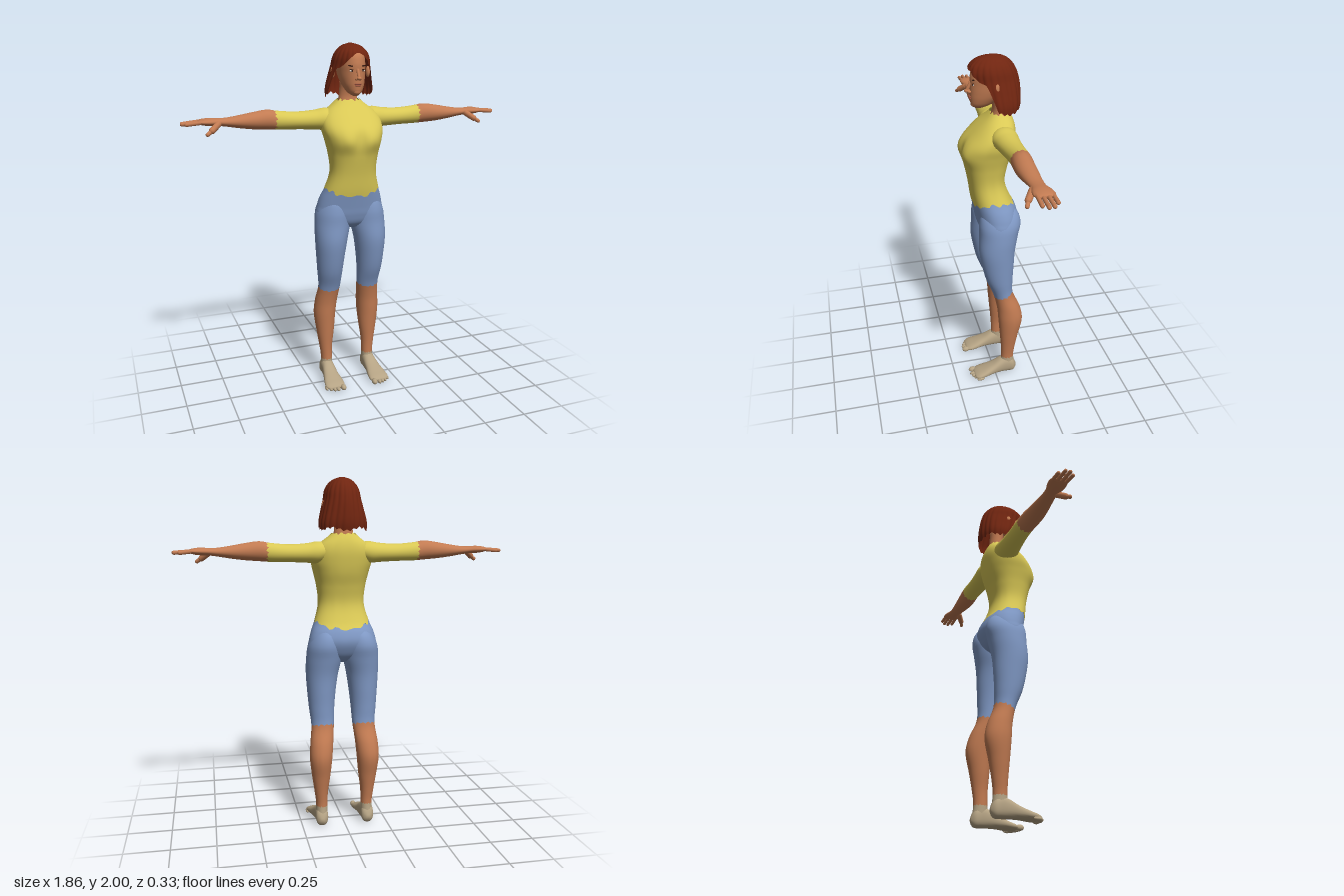
import * as THREE from 'three';

const paint = (name, color, side = THREE.FrontSide) => {
  const m = new THREE.MeshStandardMaterial({ color, side });
  m.name = name;
  return m;
};

// Cross-section table row: [t, aMin, aMax, bMin, bMax]; sym makes one centred on x = 0
const sym = (y, w, back, front) => [y, -w, w, back, front];
const sampler = (rows) => {
  const curve = new THREE.CubicInterpolant(rows.map((r) => r[0]), rows.flatMap((r) => r.slice(1)), 4);
  return (t) => Array.from(curve.evaluate(t));
};

// Loft along an axis between lo and hi. A number gives a closed end, a function of the angle a cut edge.
function loft(rows, { axis = 'y', lo = rows[0][0], hi = rows.at(-1)[0], segs = 40, steps = 30, n = 1, shape } = {}) {
  const at = sampler(rows), pos = [], idx = [];
  const place = { y: (t, a, b) => [a, t, b], x: (t, a, b) => [t, a, b], z: (t, a, b) => [a, b, t] }[axis];
  const tri = (a, b, c) => (axis === 'y' ? idx.push(a, b, c) : idx.push(a, c, b));
  const edge = (e, th) => (typeof e === 'function' ? e(th) : e);
  const pow = (v) => Math.sign(v) * Math.abs(v) ** n;
  for (let j = 0; j <= steps; j++) {
    for (let i = 0; i < segs; i++) {
      const th = (i / segs) * Math.PI * 2;
      const t = THREE.MathUtils.lerp(edge(lo, th), edge(hi, th), j / steps);
      const [a0, a1, b0, b1] = at(t);
      const p = place(t, (a0 + a1) / 2 + ((a1 - a0) / 2) * pow(Math.cos(th)),
        (b0 + b1) / 2 + ((b1 - b0) / 2) * pow(Math.sin(th)));
      pos.push(...(shape ? shape(p, th) : p));
      if (j === steps) continue;
      const k = j * segs + i, k1 = j * segs + ((i + 1) % segs);
      tri(k, k + segs, k1);
      tri(k1, k + segs, k1 + segs);
    }
  }
  for (const [e, j] of [[lo, 0], [hi, steps]]) {
    if (typeof e === 'function') continue;
    const [a0, a1, b0, b1] = at(e), c = pos.length / 3;
    pos.push(...place(e, (a0 + a1) / 2, (b0 + b1) / 2));
    for (let i = 0; i < segs; i++) {
      const k = j * segs + i, k1 = j * segs + ((i + 1) % segs);
      if (j) tri(k, c, k1); else tri(k, k1, c);
    }
  }
  const g = new THREE.BufferGeometry();
  g.setAttribute('position', new THREE.Float32BufferAttribute(pos, 3));
  g.setIndex(idx);
  g.computeVertexNormals();
  return g;
}

function blob(x, y, z, sx, sy, sz, tilt = 0) {
  return new THREE.SphereGeometry(1, 16, 12).scale(sx, sy, sz).rotateZ(tilt).translate(x, y, z);
}

function rod(from, to, r) {
  const a = new THREE.Vector3(...from), b = new THREE.Vector3(...to), d = b.clone().sub(a);
  const q = new THREE.Quaternion().setFromUnitVectors(new THREE.Vector3(0, 1, 0), d.clone().normalize());
  const mid = a.add(b).multiplyScalar(0.5);
  return new THREE.CapsuleGeometry(r, d.length(), 5, 10).applyQuaternion(q).translate(mid.x, mid.y, mid.z);
}

function mirrored(geo) {
  const g = geo.clone().scale(-1, 1, 1), ix = g.index.array;
  for (let i = 0; i < ix.length; i += 3) [ix[i], ix[i + 1]] = [ix[i + 1], ix[i]];
  return g;
}

export function createModel() {
  const model = new THREE.Group();
  model.name = 'woman';
  const skin = paint('skin', 0xc27b52), shirt = paint('yellow shirt', 0xd9c855, THREE.DoubleSide);
  const pants = paint('blue trousers', 0x7f98c4, THREE.DoubleSide), sock = paint('beige foot', 0xb5a384);
  const hair = paint('auburn hair', 0x702510, THREE.DoubleSide), dark = paint('dark brown', 0x33170e);
  const white = paint('eye white', 0xd8cfc4), lip = paint('lip', 0x9c5440);
  const add = (name, geo, mat) => {
    const m = new THREE.Mesh(geo, mat);
    m.name = name;
    model.add(m);
  };
  const both = (name, geo, mat) => {
    add(name + 'Left', geo, mat);
    add(name + 'Right', mirrored(geo), mat);
  };
  const ragged = (base, amp) => (th) => base + amp * Math.sin(13 * th) * (0.6 + 0.4 * Math.cos(5 * th));

  // Torso: one surface, cut at the shirt hem
  const body = [
    sym(0.97, 0.05, -0.06, 0.03), sym(1.0, 0.15, -0.1, 0.06), sym(1.05, 0.197, -0.132, 0.08),
    sym(1.1, 0.192, -0.146, 0.09), sym(1.15, 0.178, -0.135, 0.1), sym(1.2, 0.158, -0.108, 0.11),
    sym(1.3, 0.132, -0.076, 0.125), sym(1.4, 0.14, -0.09, 0.146), sym(1.48, 0.158, -0.114, 0.166),
    sym(1.54, 0.172, -0.125, 0.146), sym(1.6, 0.165, -0.13, 0.092), sym(1.64, 0.135, -0.125, 0.052),
    sym(1.67, 0.095, -0.115, 0.022), sym(1.7, 0.062, -0.1, -0.004)];
  const hem = (th) => ragged(1.168, 0.012)(th) + 0.038 * Math.cos(th) ** 2;
  const bust = ([x, y, z]) => {
    const f = Math.exp(-(((y - 1.49) / 0.06) ** 2)) * Math.max(0, z / 0.15);
    return [x, y, z + f * (0.01 * Math.exp(-(((Math.abs(x) - 0.085) / 0.045) ** 2)) - 0.012 * Math.exp(-((x / 0.03) ** 2)))];
  };
  add('shirtBody', loft(body, { lo: hem, hi: ragged(1.695, 0.008), n: 0.85, segs: 64, steps: 44, shape: bust }), shirt);
  add('trouserHips', loft(body, { hi: hem, n: 0.9, segs: 64 }), pants);

  // Legs: trousers, bare calf and ankle share one surface
  const leg = [
    [0.05, 0.1, 0.17, -0.125, -0.035], [0.13, 0.1, 0.167, -0.117, -0.04], [0.2, 0.098, 0.175, -0.125, -0.038],
    [0.3, 0.085, 0.19, -0.143, -0.03], [0.42, 0.073, 0.203, -0.165, -0.02], [0.5, 0.066, 0.198, -0.149, -0.013],
    [0.6, 0.056, 0.187, -0.108, 0.01], [0.7, 0.05, 0.197, -0.105, 0.05], [0.8, 0.04, 0.205, -0.11, 0.075],
    [0.9, 0.025, 0.211, -0.117, 0.09], [1.0, 0.005, 0.209, -0.136, 0.086], [1.08, 0.008, 0.196, -0.15, 0.084],
    [1.15, 0.035, 0.155, -0.118, 0.06], [1.19, 0.08, 0.11, -0.05, 0]];
  const cuff = (th) => ragged(0.597, 0.008)(th) - 0.025 * Math.sin(th) * 0.7;
  const ankle = ragged(0.12, 0.006);
  both('trouserLeg', loft(leg, { lo: cuff }), pants);
  both('calf', loft(leg, { lo: ankle, hi: cuff }), skin);
  both('ankle', loft(leg, { hi: ankle, steps: 6 }), sock);

  // Feet and toes
  const foot = [
    [-0.132, 0.125, 0.148, 0.03, 0.055], [-0.12, 0.107, 0.165, 0.01, 0.085], [-0.08, 0.099, 0.172, 0.003, 0.118],
    [-0.04, 0.096, 0.174, 0.005, 0.108], [0.02, 0.092, 0.184, 0.006, 0.075], [0.08, 0.083, 0.197, 0.003, 0.05],
    [0.115, 0.084, 0.197, 0.003, 0.037], [0.135, 0.095, 0.18, 0.01, 0.026]];
  both('foot', loft(foot, { axis: 'z', n: 0.85, segs: 28 }), sock);
  for (let i = 0; i < 5; i++) {
    const r = i ? 0.0125 - i * 0.0006 : 0.017;
    both('toe' + (i + 1), blob(0.1 + (i ? 0.012 + i * 0.0205 : 0), r, 0.139 - i * i * 0.0022, r * 0.95, r, 0.024), sock);
  }

  // Arms: sleeve and forearm share one surface
  const arm = [
    [0.08, 1.56, 1.64, -0.1, 0], [0.14, 1.532, 1.652, -0.115, 0.026], [0.2, 1.535, 1.643, -0.112, 0.018],
    [0.3, 1.54, 1.637, -0.108, 0.005], [0.42, 1.543, 1.647, -0.105, 0], [0.46, 1.546, 1.654, -0.1, 0.005],
    [0.54, 1.552, 1.645, -0.095, 0.008], [0.62, 1.562, 1.631, -0.09, 0], [0.7, 1.575, 1.62, -0.085, -0.01],
    [0.74, 1.58, 1.62, -0.086, -0.01], [0.78, 1.581, 1.622, -0.098, 0], [0.82, 1.587, 1.618, -0.101, -0.001],
    [0.84, 1.594, 1.612, -0.092, -0.01]];
  const sleeveEdge = ragged(0.425, 0.012);
  both('sleeve', loft(arm, { axis: 'x', hi: sleeveEdge, segs: 36 }), shirt);
  both('forearm', loft(arm, { axis: 'x', lo: sleeveEdge, segs: 36 }), skin);
  const fingers = [[-0.089, 0.887], [-0.064, 0.917], [-0.038, 0.92], [-0.013, 0.9]];
  fingers.forEach(([z, tip], i) => {
    both('finger' + (i + 1), rod([0.81, 1.604, z * 0.95 - 0.002], [tip, 1.596, z], 0.0105), skin);
  });
  both('thumbBase', rod([0.735, 1.592, -0.018], [0.775, 1.562, 0.012], 0.017), skin);
  both('thumbTip', rod([0.775, 1.562, 0.012], [0.8, 1.545, 0.024], 0.011), skin);

  // Neck and head
  add('neck', loft([sym(1.65, 0.065, -0.1, 0.005), sym(1.7, 0.054, -0.095, -0.012),
    sym(1.75, 0.05, -0.09, -0.008), sym(1.8, 0.05, -0.09, 0.01)], { steps: 10 }), skin);
  const head = [
    sym(1.722, 0.012, 0.045, 0.08), sym(1.735, 0.032, 0.005, 0.098), sym(1.77, 0.054, -0.045, 0.107),
    sym(1.81, 0.067, -0.095, 0.108), sym(1.85, 0.073, -0.125, 0.107), sym(1.9, 0.075, -0.135, 0.105),
    sym(1.95, 0.064, -0.11, 0.082), sym(1.98, 0.03, -0.06, 0.03)];
  add('head', loft(head, { segs: 44 }), skin);
  const headAt = sampler(head);
  const faceZ = (x, y) => {
    const [, w, b, f] = headAt(y);
    return (b + f) / 2 + ((f - b) / 2) * Math.sqrt(1 - (x / w) ** 2);
  };

  // Face
  add('noseBridge', rod([0, 1.86, 0.104], [0, 1.823, 0.122], 0.009), skin);
  add('noseTip', blob(0, 1.818, 0.122, 0.013, 0.01, 0.016), skin);
  both('nostril', blob(0.011, 1.814, 0.112, 0.008, 0.007, 0.01), skin);
  add('upperLip', blob(0, 1.787, faceZ(0, 1.787), 0.023, 0.0045, 0.008), lip);
  add('lowerLip', blob(0, 1.779, faceZ(0, 1.779), 0.018, 0.005, 0.008), lip);
  add('chin', blob(0, 1.745, 0.089, 0.022, 0.016, 0.016), skin);
  both('eye', blob(0.031, 1.857, faceZ(0.031, 1.857), 0.014, 0.005, 0.0035), white);
  both('iris', blob(0.031, 1.857, faceZ(0.031, 1.857) + 0.002, 0.005, 0.005, 0.003), dark);
  both('eyelid', blob(0.031, 1.863, faceZ(0.031, 1.863), 0.016, 0.0022, 0.004, 0.08), dark);
  both('eyebrow', blob(0.033, 1.882, faceZ(0.033, 1.882), 0.02, 0.0038, 0.005, 0.16), dark);
  both('ear', blob(0.103, 1.845, -0.012, 0.012, 0.03, 0.016), skin);

  // Bobbed hair: ridged shell, open over the face
  const bob = [
    sym(1.69, 0.128, -0.148, 0.05), sym(1.75, 0.133, -0.16, 0.075), sym(1.82, 0.119, -0.158, 0.1),
    sym(1.88, 0.104, -0.148, 0.116), sym(1.93, 0.094, -0.13, 0.118), sym(1.965, 0.074, -0.105, 0.098),
    sym(1.99, 0.042, -0.07, 0.055), sym(2.0, 0.01, -0.03, 0.01)];
  const hairEdge = (th) => {
    const s = Math.sin(th), k = THREE.MathUtils.smoothstep(s, 0.24, 0.46);
    const fringe = 1.87 + 0.08 * Math.max(0, (s - 0.46) / 0.54) ** 2;
    const ends = 1.712 + 0.012 * Math.abs(Math.sin(th * 11)) + 0.008 * Math.sin(th * 5);
    return THREE.MathUtils.lerp(ends, fringe, k);
  };
  const strands = ([x, y, z], th) => {
    const fade = Math.min(1, (2 - y) / 0.05);
    const r = 1 + 0.035 * fade * (Math.abs(Math.sin(th * 11 + y * 5)) - 0.5 + 0.4 * Math.sin(th * 7));
    return [x * r, y, -0.02 + (z + 0.02) * r];
  };
  add('hair', loft(bob, { lo: hairEdge, segs: 144, steps: 32, shape: strands }), hair);
  return model;
}
